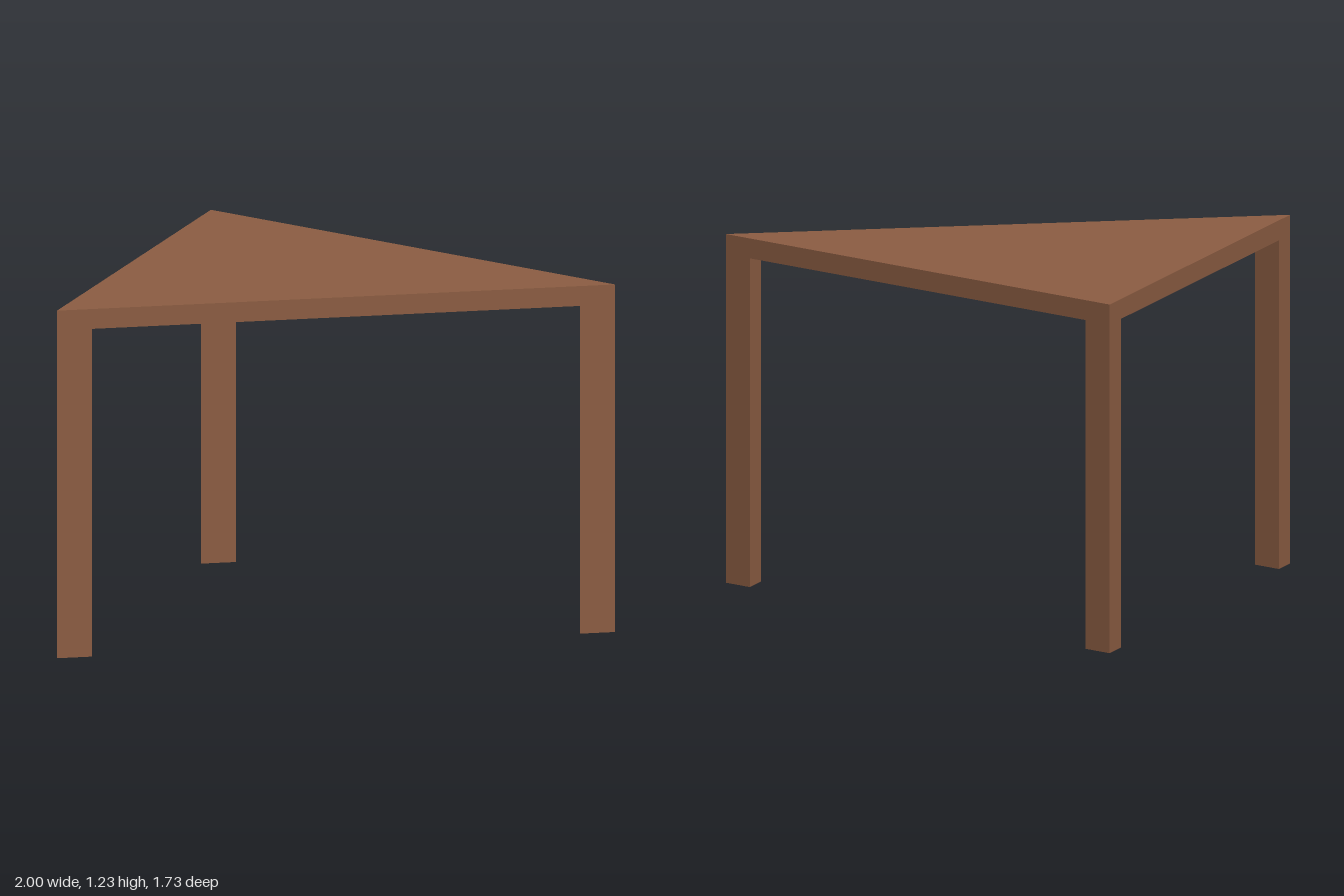
import * as THREE from 'three';

const HEIGHT = 1.226, TOP_THICKNESS = 0.07, LEG_SIDE = 0.125;
const HALF_DEPTH = Math.sqrt(3) / 2;

// Upright prism from plan points (x, z), listed counter-clockwise seen from above
function prism(points, bottom, height) {
  const shape = new THREE.Shape(points.map(p => new THREE.Vector2(p.x, -p.y)));
  const geometry = new THREE.ExtrudeGeometry(shape, { depth: height, bevelEnabled: false });
  return geometry.rotateX(-Math.PI / 2).translate(0, bottom, 0);
}

export function createModel() {
  const group = new THREE.Group();
  group.name = 'triangularTable';
  const wood = new THREE.MeshStandardMaterial({ color: 0x8b5c42 });
  wood.name = 'brown wood';

  const corners = [
    new THREE.Vector2(-1, HALF_DEPTH),
    new THREE.Vector2(1, HALF_DEPTH),
    new THREE.Vector2(0, -HALF_DEPTH),
  ];
  const add = (name, geometry) => {
    const mesh = new THREE.Mesh(geometry, wood);
    mesh.name = name;
    group.add(mesh);
  };

  // Triangular slab
  const legHeight = HEIGHT - TOP_THICKNESS;
  add('tableTop', prism(corners, legHeight, TOP_THICKNESS));

  // Each leg is the top's outline shrunk into one corner
  ['frontRightLeg', 'frontLeftLeg', 'backLeg'].forEach((name, i) => {
    const plan = corners.map(c => corners[i].clone().lerp(c, LEG_SIDE / 2));
    add(name, prism(plan, 0, legHeight));
  });
  return group;
}
